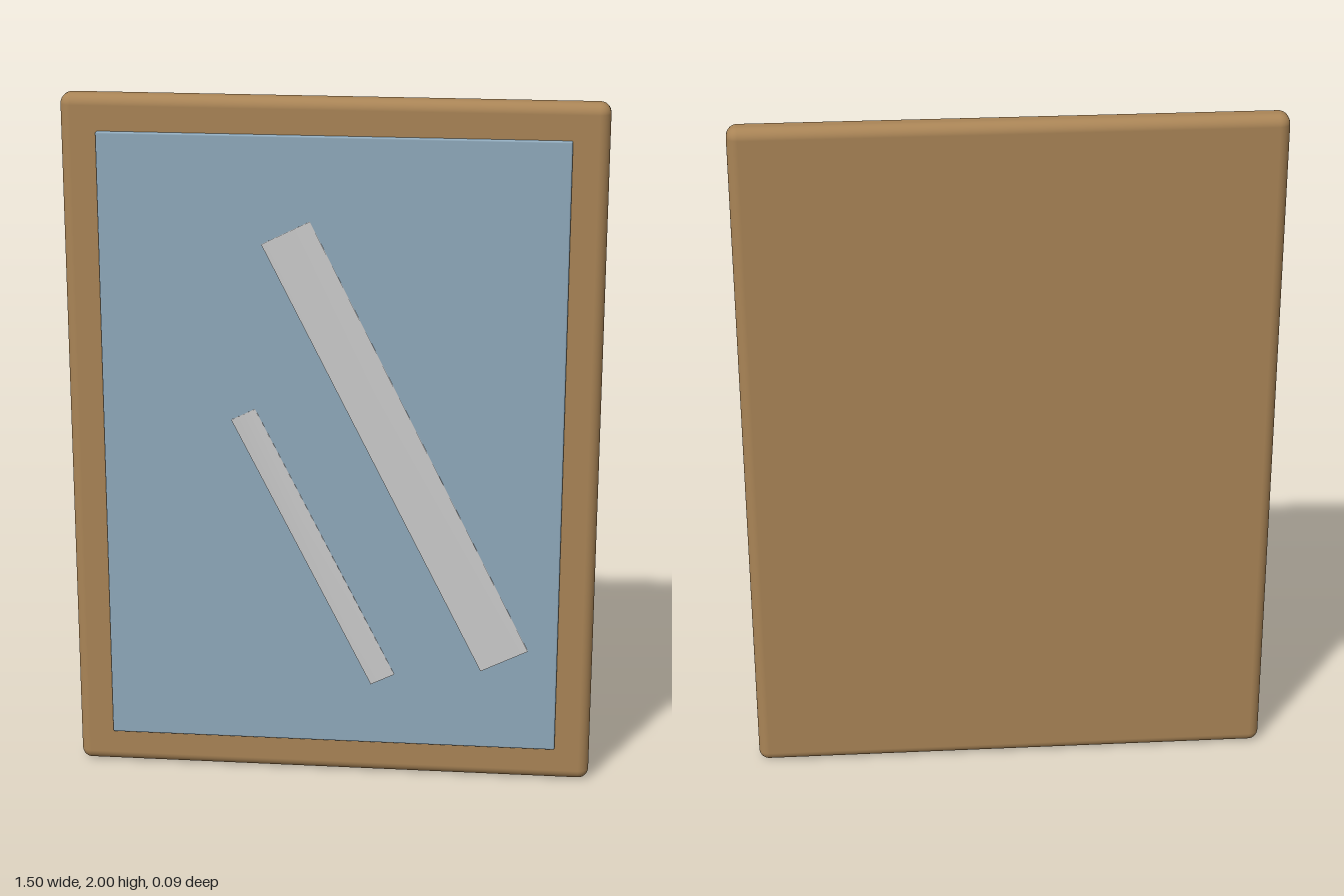
import * as THREE from 'three';
import { RoundedBoxGeometry } from 'three/addons/geometries/RoundedBoxGeometry.js';
import { mergeVertices } from 'three/addons/utils/BufferGeometryUtils.js';

// Box with shared corners, so its normals are smooth across the edges
function softBox(w, h, d) {
  const box = new THREE.BoxGeometry(w, h, d);
  box.deleteAttribute('normal');
  box.deleteAttribute('uv');
  const welded = mergeVertices(box);
  welded.computeVertexNormals();
  return welded;
}

export function createModel() {
  const group = new THREE.Group();
  const wood = new THREE.MeshStandardMaterial({ color: 0xa98456 });
  const glass = new THREE.MeshStandardMaterial({ color: 0x8fa9bb });
  const shine = new THREE.MeshStandardMaterial({ color: 0xcccccc });

  const add = (name, geometry, material, x, y, z, tilt = 0) => {
    const mesh = new THREE.Mesh(geometry, material);
    mesh.name = name;
    mesh.position.set(x, y, z);
    mesh.rotation.z = tilt;
    group.add(mesh);
  };

  // Wooden board with rounded edges, and the pane on its front
  add('frame', new RoundedBoxGeometry(1.5, 2, 0.075, 5, 0.03), wood, 0, 1, -0.0075);
  add('mirrorPane', new RoundedBoxGeometry(1.3, 1.8, 0.02, 3, 0.005), glass, 0, 1, 0.03);

  // Two slanted highlight strips on the pane
  const tilt = Math.atan(0.5);
  add('largeHighlight', softBox(0.15, 1.4, 0.01), shine, 0.185, 1.003, 0.04, tilt);
  add('smallHighlight', softBox(0.075, 0.89, 0.01), shine, -0.052, 0.703, 0.04, tilt);

  return group;
}
